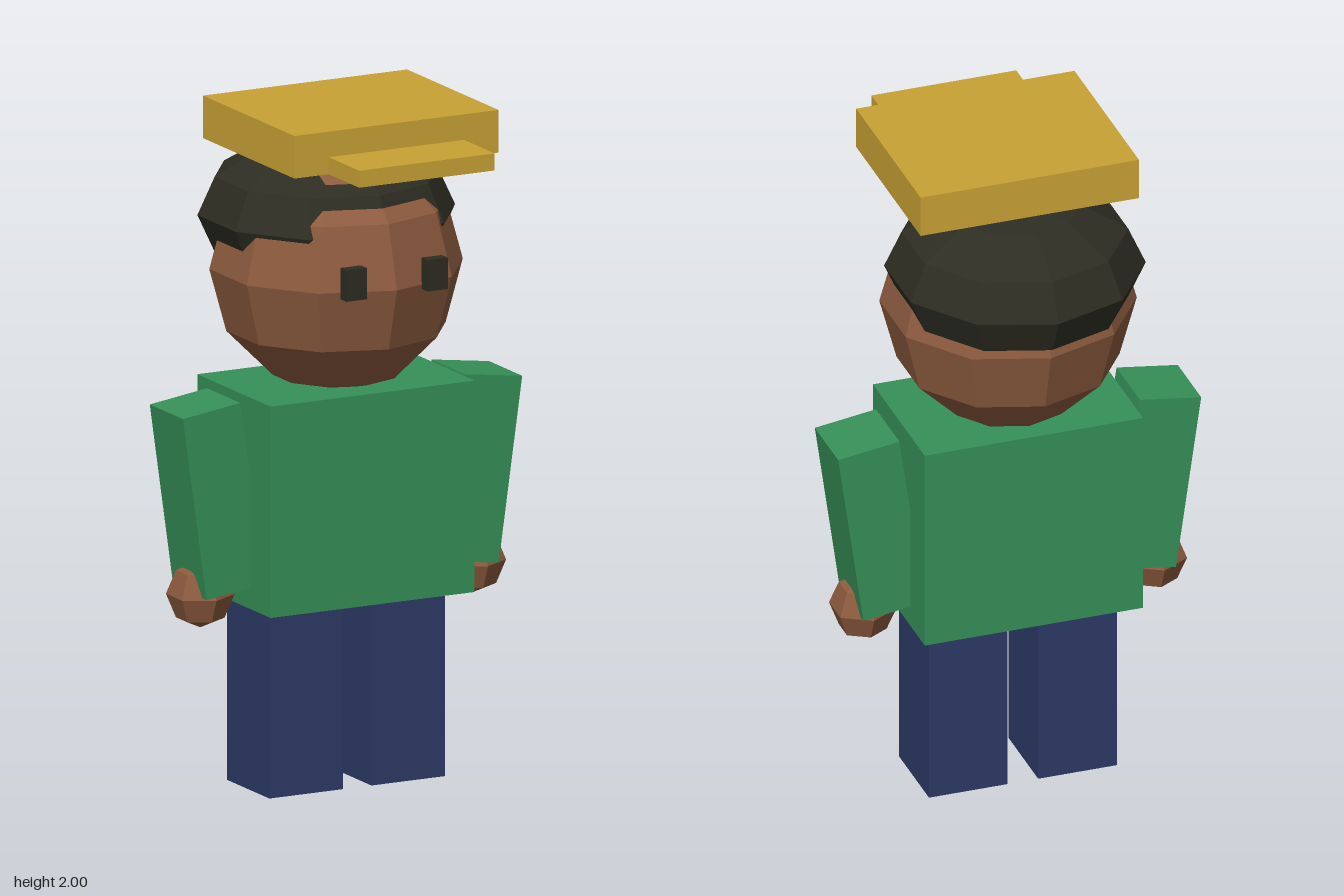
import * as THREE from 'three';

const Z = -0.058; // depth of the body axis

function material(name, color) {
  const m = new THREE.MeshStandardMaterial({ color, flatShading: true });
  m.name = name;
  return m;
}

export function createModel() {
  const model = new THREE.Group();
  model.name = 'blockFigure';

  const skin = material('brown skin', 0x8d5b3f);
  const dark = material('dark hair', 0x2d2d23);
  const shirt = material('green shirt', 0x369058);
  const trousers = material('navy trousers', 0x2d3a66);
  const gold = material('gold cap', 0xc9a235);

  const add = (name, geometry, mat, x, y, z) => {
    const mesh = new THREE.Mesh(geometry, mat);
    mesh.name = name;
    mesh.position.set(x, y, z);
    model.add(mesh);
    return mesh;
  };
  const box = (name, mat, size, pos) =>
    add(name, new THREE.BoxGeometry(...size), mat, ...pos);
  // Faceted ball with a column of corners facing the front
  const ball = (name, mat, r, sides, rings, pos) =>
    add(name, new THREE.SphereGeometry(r, sides, rings).rotateY(Math.PI / 2), mat, ...pos);

  // Torso
  box('torso', shirt, [0.66, 0.62, 0.442], [0, 0.865, Z]);

  // Head and the flattened hair cap overlapping it
  ball('head', skin, 0.367, 10, 6, [0, 1.509, Z]);
  ball('hair', dark, 0.373, 10, 6, [0, 1.655, -0.117]).scale.y = 0.59;

  // Paired parts
  for (const [side, s] of [['left', 1], ['right', -1]]) {
    box(side + 'Leg', trousers, [0.238, 0.555, 0.255], [s * 0.165, 0.2775, Z]);
    const arm = box(side + 'Arm', shirt, [0.187, 0.545, 0.2], [s * 0.418, 0.881, Z]);
    arm.rotation.z = -s * 0.14;
    ball(side + 'Hand', skin, 0.098, 6, 4, [s * 0.439, 0.591, Z]);
    box(side + 'Eye', dark, [0.066, 0.092, 0.036], [s * 0.131, 1.541, 0.292]);
  }

  // Square cap and its brim
  box('capTop', gold, [0.66, 0.125, 0.55], [0, 1.9375, 0.031]);
  box('capBrim', gold, [0.438, 0.05, 0.19], [0, 1.9, 0.395]);

  return model;
}
